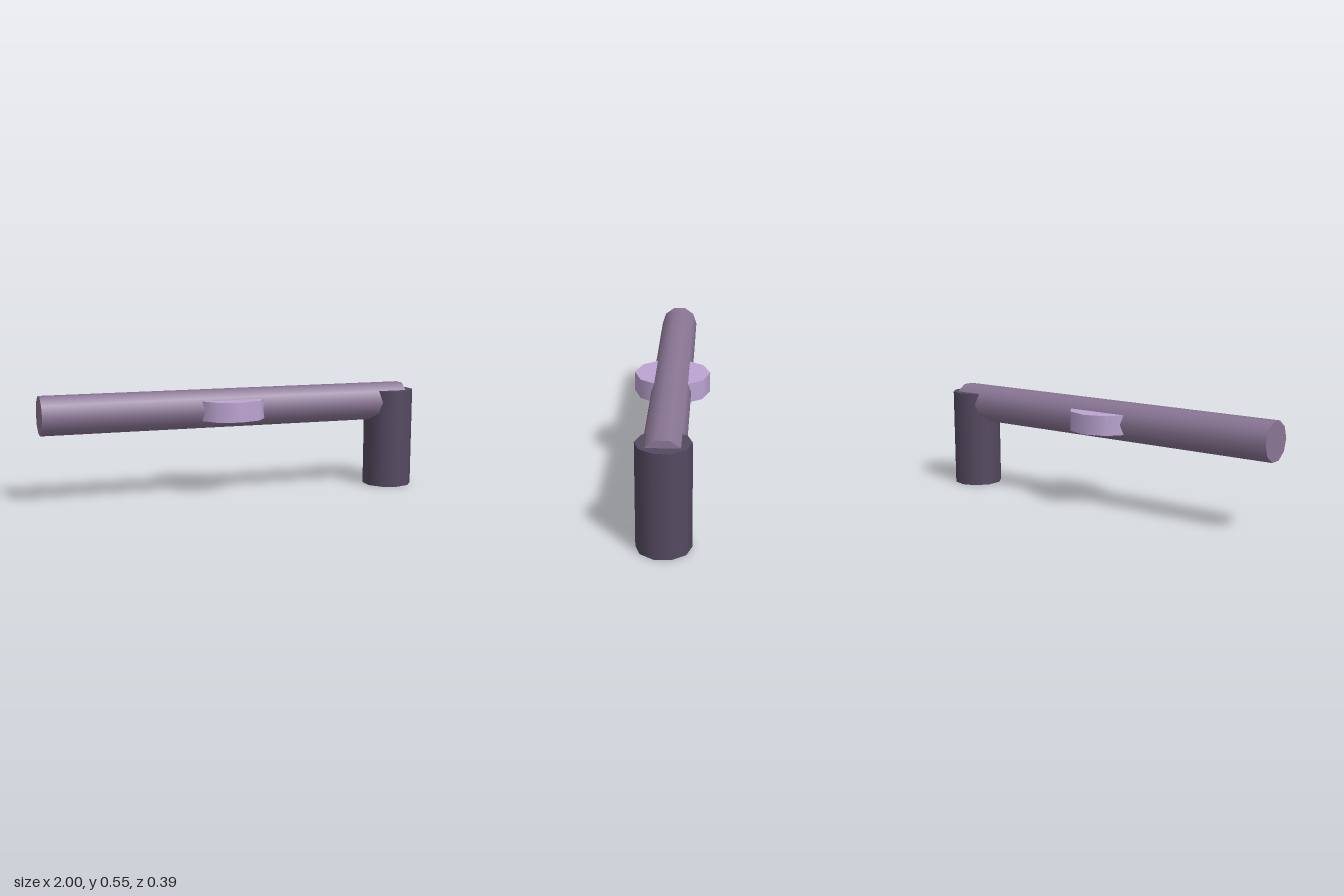
import * as THREE from 'three';

const material = (name, color) => {
  const m = new THREE.MeshStandardMaterial({ color });
  m.name = name;
  return m;
};

export function createModel() {
  const group = new THREE.Group();
  group.name = 'model';
  const mauve = material('mauve', 0x8a7695);
  const lilac = material('lilac', 0xbda5d3);
  const darkPlum = material('dark plum', 0x544a60);

  // Ten-sided rod with smooth sides, flat caps and corners on +z and -z
  const rod = (name, radius, length, mat, x, y) => {
    const mesh = new THREE.Mesh(new THREE.CylinderGeometry(radius, radius, length, 10), mat);
    mesh.name = name;
    mesh.position.set(x, y, 0);
    group.add(mesh);
    return mesh;
  };

  // Long horizontal tube
  rod('barrel', 0.1, 1.94, mauve, -0.03, 0.457).rotation.z = Math.PI / 2;
  // Short disc through the middle of the tube
  rod('middleDisc', 0.193, 0.1, lilac, -0.031, 0.455);
  // Upright grip at the end
  rod('handle', 0.129, 0.514, darkPlum, 0.877, 0.26);

  // Stand exactly on the ground
  group.children.forEach((part) => { part.position.y -= 0.003; });
  return group;
}
